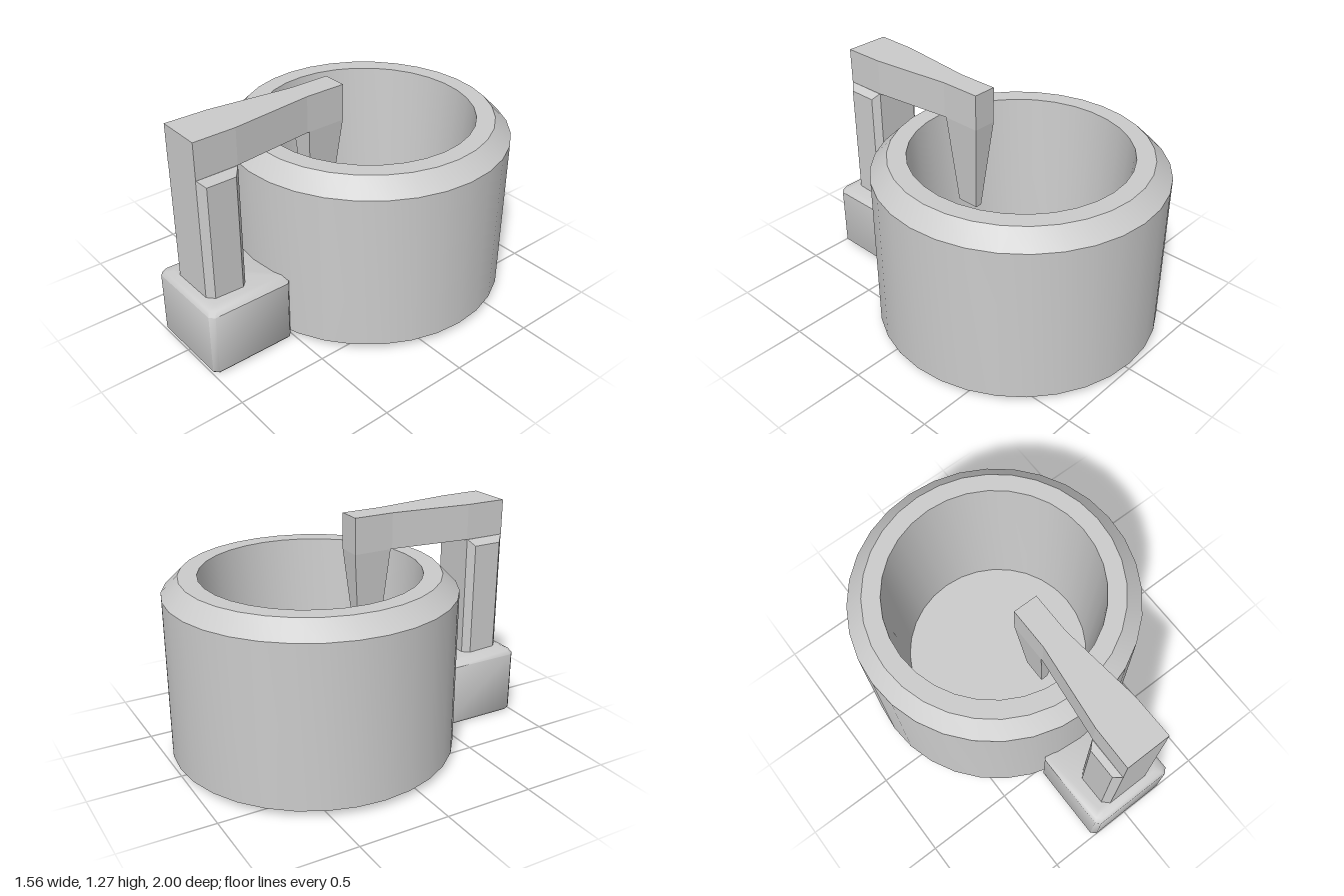
import * as THREE from 'three';
import { toCreasedNormals } from 'three/addons/utils/BufferGeometryUtils.js';

const CX = 0.016; // centre line of the arm assembly

// Skin a list of rings (each counter-clockwise seen from the end of the path) and cap both ends.
function loft(rings, crease = 0.1) {
  const n = rings[0].length, pos = rings.flat(2), idx = [];
  for (let i = 0; i < rings.length - 1; i++) {
    for (let j = 0; j < n; j++) {
      const a = i * n + j, b = i * n + (j + 1) % n;
      idx.push(a, b, b + n, a, b + n, a + n);
    }
  }
  const last = (rings.length - 1) * n;
  for (let j = 1; j < n - 1; j++) idx.push(0, j + 1, j, last, last + j, last + j + 1);
  const g = new THREE.BufferGeometry();
  g.setAttribute('position', new THREE.Float32BufferAttribute(pos, 3));
  g.setIndex(idx);
  return toCreasedNormals(g, crease);
}

// Horizontal rectangle with cut corners; y may be a function of z.
function plan(hw, z0, z1, cut, y) {
  const pts = [[-hw, z1 - cut], [-hw + cut, z1], [hw - cut, z1], [hw, z1 - cut],
    [hw, z0 + cut], [hw - cut, z0], [-hw + cut, z0], [-hw, z0 + cut]];
  return pts.map(([x, z]) => [CX + x, typeof y === 'function' ? y(z) : y, z]);
}

// Upright rectangle across the arm.
const section = (hw, y0, y1, z) =>
  [[CX - hw, y0, z], [CX + hw, y0, z], [CX + hw, y1, z], [CX - hw, y1, z]];

export function createModel() {
  const model = new THREE.Group();
  const material = new THREE.MeshStandardMaterial({ color: 0xcccccc });
  const add = (name, geometry) => {
    const mesh = new THREE.Mesh(geometry, material);
    mesh.name = name;
    model.add(mesh);
    return mesh;
  };

  // Open bowl with a bevelled rim and slightly tapered inside
  const profile = [[0, 0.04], [0.78, 0.04], [0.78, 0.92], [0.69, 1.01],
    [0.59, 1.01], [0.535, 0.12], [0, 0.12]].map(([r, y]) => new THREE.Vector2(r, y));
  add('bowl', toCreasedNormals(new THREE.LatheGeometry(profile, 32), 0.5)).position.z = -0.22;

  // Softly bevelled base block, its top dipping towards the bowl
  const dip = z => 0.4 - 0.1 * Math.max(0, 0.71 - z);
  add('baseBlock', loft([
    plan(0.235, 0.515, 0.985, 0.02, 0),
    plan(0.252, 0.51, 1.0, 0.025, 0.02),
    plan(0.252, 0.51, 1.0, 0.025, 0.365),
    plan(0.235, 0.512, 0.985, 0.025, z => dip(z) - 0.012),
    plan(0.195, 0.515, 0.955, 0.02, dip),
  ], 0.9));

  // Column with chamfered sides that slope in under the arm
  add('column', loft([
    plan(0.158, 0.71, 0.945, 0.035, 0.37),
    plan(0.158, 0.71, 0.945, 0.035, 1.035),
    plan(0.125, 0.71, 0.945, 0.002, 1.07),
  ]));

  // Arm narrowing towards the bowl
  add('arm', loft([
    section(0.068, 1.07, 1.27, 0.02),
    section(0.068, 1.07, 1.27, 0.25),
    section(0.122, 1.07, 1.27, 0.71),
    section(0.125, 1.07, 1.27, 0.945),
  ]));

  // Tapered spout reaching down into the bowl
  add('spout', loft([
    plan(0.02, 0.07, 0.2, 0, 0.55),
    plan(0.068, 0.02, 0.24, 0, 1.07),
  ]));
  return model;
}
